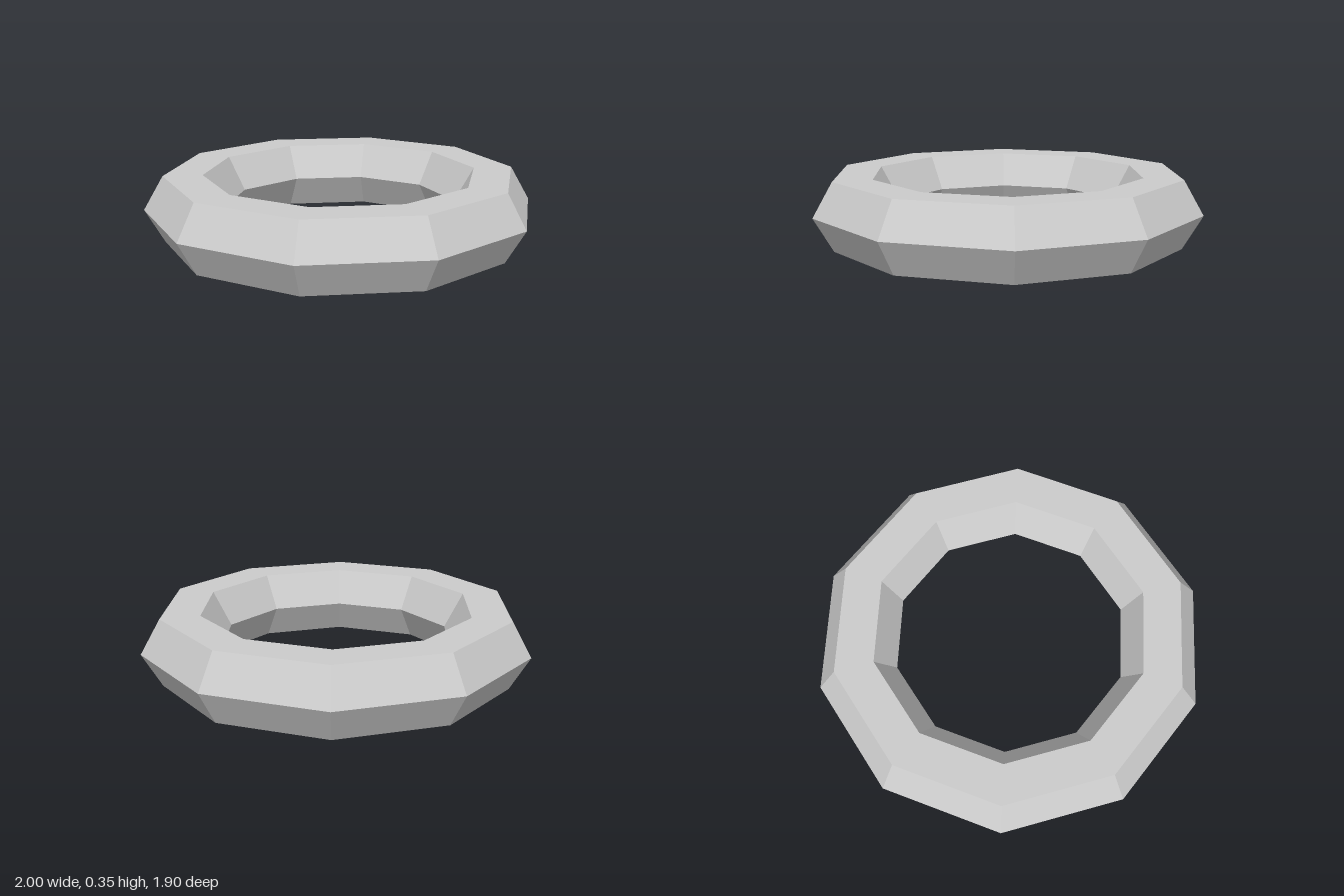
import * as THREE from 'three';

export function createModel() {
  const group = new THREE.Group();
  const ringRadius = 0.8, tubeRadius = 0.2;

  // Ten-sided ring with a hexagonal section, lying flat
  const geometry = new THREE.TorusGeometry(ringRadius, tubeRadius, 6, 10);
  geometry.rotateX(-Math.PI / 2);
  // Lift it so its flat underside rests on the ground
  geometry.translate(0, tubeRadius * Math.sin(Math.PI / 3), 0);

  const material = new THREE.MeshStandardMaterial({ color: 0xcccccc, flatShading: true });
  const ring = new THREE.Mesh(geometry, material);
  ring.name = 'ring';
  group.add(ring);
  return group;
}
